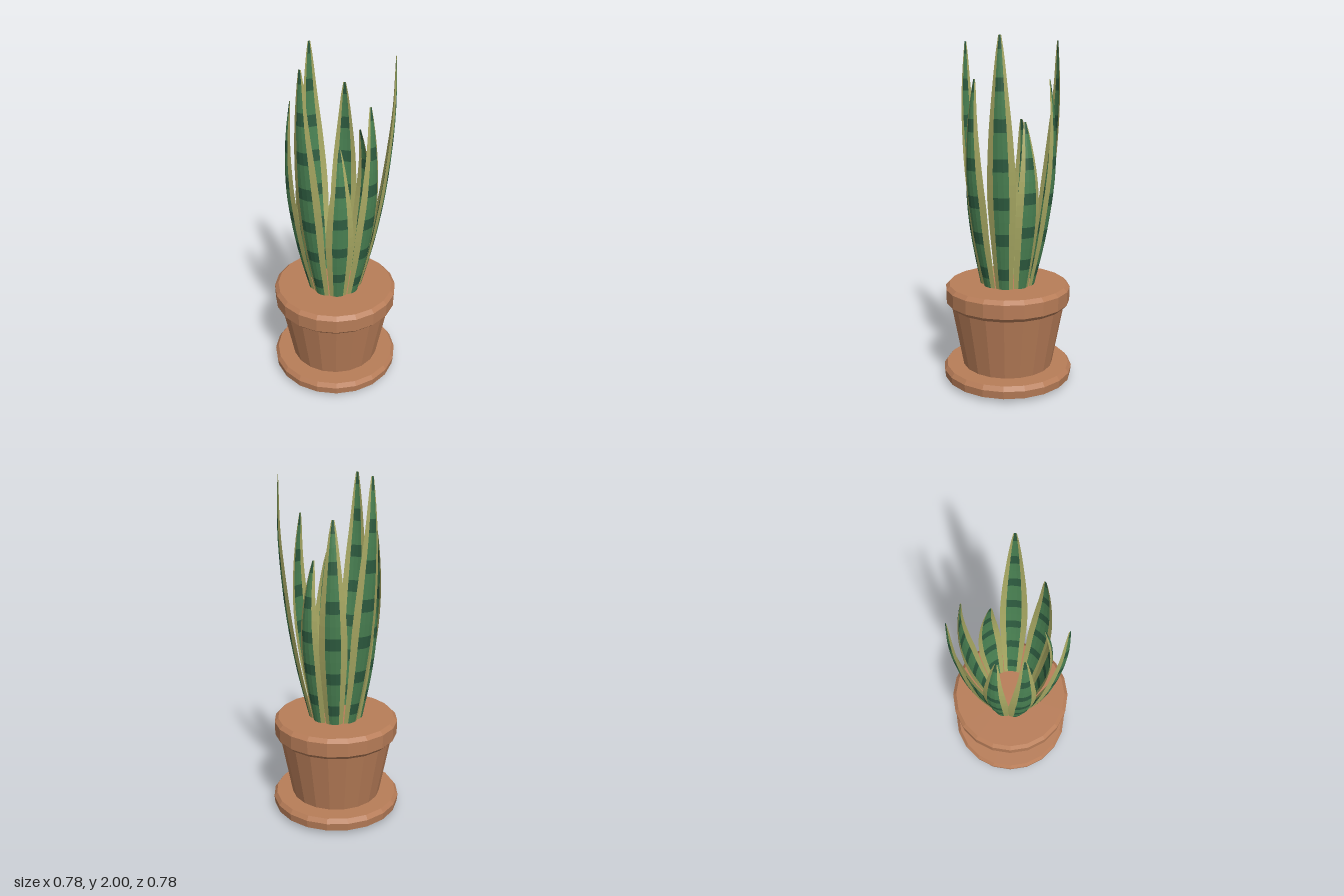
import * as THREE from 'three';

const mat = (color) => new THREE.MeshStandardMaterial({ color, flatShading: true });

// Piecewise-smooth curve through [t, value] pairs
function profile(pairs) {
  const curve = new THREE.SplineCurve(pairs.map(([t, v]) => new THREE.Vector2(t, v)));
  const pts = curve.getPoints(120);
  return (t) => {
    let i = 1;
    while (i < pts.length - 1 && pts[i].x < t) i++;
    const a = pts[i - 1], b = pts[i];
    return THREE.MathUtils.mapLinear(THREE.MathUtils.clamp(t, a.x, b.x), a.x, b.x, a.y, b.y);
  };
}

const halfWidth = profile([[0, 0.048], [0.2, 0.066], [0.42, 0.079], [0.62, 0.067], [0.8, 0.043], [0.93, 0.023], [1, 0.008]]);
const columns = [-1, -0.56, -0.2, 0.2, 0.56, 1];
const BASE = 0.58;

// Leaf with a crescent section: yellow margins, green centre, dark crossbands
function leafGeometries({ height, rows, phase, reach }) {
  const parts = { margin: [], centre: [], band: [] };
  const radius = profile(reach);
  const point = (i, u, inner) => {
    const t = i / rows, w = halfWidth(t);
    const thickness = inner ? 0.2 * w * (1 - u * u) : 0;
    return [radius(t) - 0.38 * w * u * u - thickness, BASE + t * (height - BASE), w * u];
  };
  for (let i = 0; i < rows; i++) {
    for (let j = 0; j < columns.length - 1; j++) {
      const edge = j === 0 || j === columns.length - 2;
      const out = edge ? parts.margin : i % 3 === phase ? parts.band : parts.centre;
      for (const inner of [false, true]) {
        const a = point(i, columns[j], inner), b = point(i + 1, columns[j], inner);
        const c = point(i + 1, columns[j + 1], inner), d = point(i, columns[j + 1], inner);
        const tris = inner ? [a, c, b, a, d, c] : [a, b, c, a, c, d];
        out.push(...tris.flat());
      }
    }
  }
  return Object.entries(parts).map(([name, values]) => {
    const g = new THREE.BufferGeometry();
    g.setAttribute('position', new THREE.Float32BufferAttribute(values, 3));
    g.computeVertexNormals();
    return [name, g];
  });
}

function lathe(name, points, material) {
  const g = new THREE.LatheGeometry(points.map(([r, y]) => new THREE.Vector2(r, y)), 20);
  const mesh = new THREE.Mesh(g, material);
  mesh.name = name;
  return mesh;
}

export function createModel() {
  const model = new THREE.Group();
  model.name = 'pottedPlant';
  const clay = mat(0xb87d58);
  const leafMats = { margin: mat(0xa9aa64), centre: mat(0x4a8253), band: mat(0x2e5c40) };

  // Saucer and pot
  model.add(lathe('saucer', [[0, 0], [0.31, 0], [0.383, 0.025], [0.388, 0.07], [0.37, 0.095], [0, 0.095]], clay));
  model.add(lathe('pot', [[0.27, 0.09], [0.34, 0.465], [0.348, 0.465], [0.37, 0.488], [0.372, 0.57], [0.35, 0.592], [0, 0.592]], clay));

  // Three leaf sizes, each repeated three times around the clump
  const kinds = [
    { name: 'tallLeaf', start: 40, height: 2, rows: 20, phase: 1,
      reach: [[0, 0.16], [0.22, 0.234], [0.44, 0.287], [0.65, 0.316], [0.82, 0.325], [1, 0.315]] },
    { name: 'middleLeaf', start: 80, height: 1.78, rows: 17, phase: 1,
      reach: [[0, 0.16], [0.25, 0.23], [0.5, 0.275], [0.68, 0.284], [0.85, 0.273], [1, 0.248]] },
    { name: 'shortLeaf', start: 0, height: 1.55, rows: 15, phase: 2,
      reach: [[0, 0.16], [0.3, 0.215], [0.55, 0.24], [0.75, 0.231], [0.9, 0.205], [1, 0.18]] },
  ];
  for (const kind of kinds) {
    const geometries = leafGeometries(kind);
    for (let k = 0; k < 3; k++) {
      const leaf = new THREE.Group();
      leaf.name = kind.name;
      for (const [part, g] of geometries) {
        const mesh = new THREE.Mesh(g, leafMats[part]);
        mesh.name = 'leaf' + part[0].toUpperCase() + part.slice(1);
        leaf.add(mesh);
      }
      leaf.rotation.y = -THREE.MathUtils.degToRad(kind.start + 120 * k);
      model.add(leaf);
    }
  }
  return model;
}
